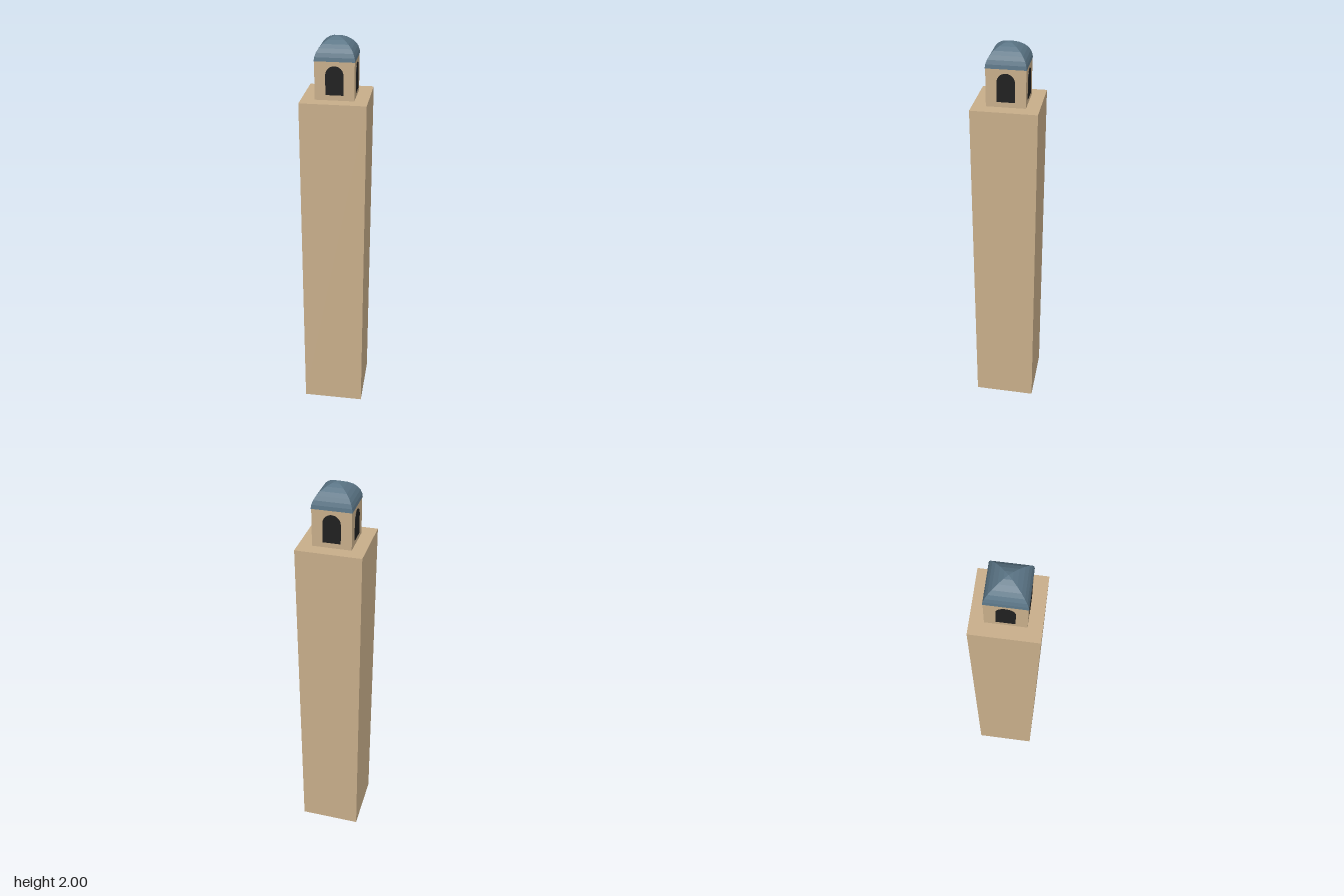
import * as THREE from 'three';

export function createModel() {
  const model = new THREE.Group();
  model.name = 'tower';

  const paint = (name, color) => {
    const m = new THREE.MeshStandardMaterial({ color });
    m.name = name;
    return m;
  };
  const stone = paint('sandstone', 0xc8ae8a);
  const slate = paint('blue slate', 0x5a7485);
  const dark = paint('dark opening', 0x202020);

  const add = (name, geometry, material, parent = model) => {
    const mesh = new THREE.Mesh(geometry, material);
    mesh.name = name;
    parent.add(mesh);
    return mesh;
  };

  // Square shaft and the smaller lantern room standing on it
  const shaftHeight = 1.72, lanternHeight = 0.18, lanternHalf = 0.093;
  add('shaft', new THREE.BoxGeometry(0.315, shaftHeight, 0.315), stone).position.y = shaftHeight / 2;
  add('lantern', new THREE.BoxGeometry(lanternHalf * 2, lanternHeight, lanternHalf * 2), stone)
    .position.y = shaftHeight + lanternHeight / 2;

  // Four-sided pointed dome: half-width and height pairs, swept round a square
  const profile = [
    [0, 1.9], [0.095, 1.9], [0.0925, 1.918], [0.086, 1.937], [0.075, 1.955],
    [0.06, 1.971], [0.039, 1.986], [0.018, 1.996], [0, 2],
  ].map(([half, y]) => new THREE.Vector2(half * Math.SQRT2, y));
  const dome = new THREE.LatheGeometry(profile, 4, Math.PI / 4).toNonIndexed();
  dome.computeVertexNormals();
  add('dome', dome, slate);

  // Arched opening on each side of the lantern
  const w = 0.042, sill = 1.745, spring = 1.838;
  const arch = new THREE.Shape();
  arch.moveTo(-w, sill);
  arch.lineTo(w, sill);
  arch.lineTo(w, spring);
  arch.absarc(0, spring, w, 0, Math.PI, false);
  arch.closePath();
  const plate = new THREE.ExtrudeGeometry(arch, { depth: 0.003, bevelEnabled: false, curveSegments: 10 });
  plate.translate(0, 0, lanternHalf - 0.001);
  ['front', 'left', 'back', 'right'].forEach((side, i) => {
    add(side + 'Window', plate, dark).rotation.y = i * Math.PI / 2;
  });

  return model;
}
